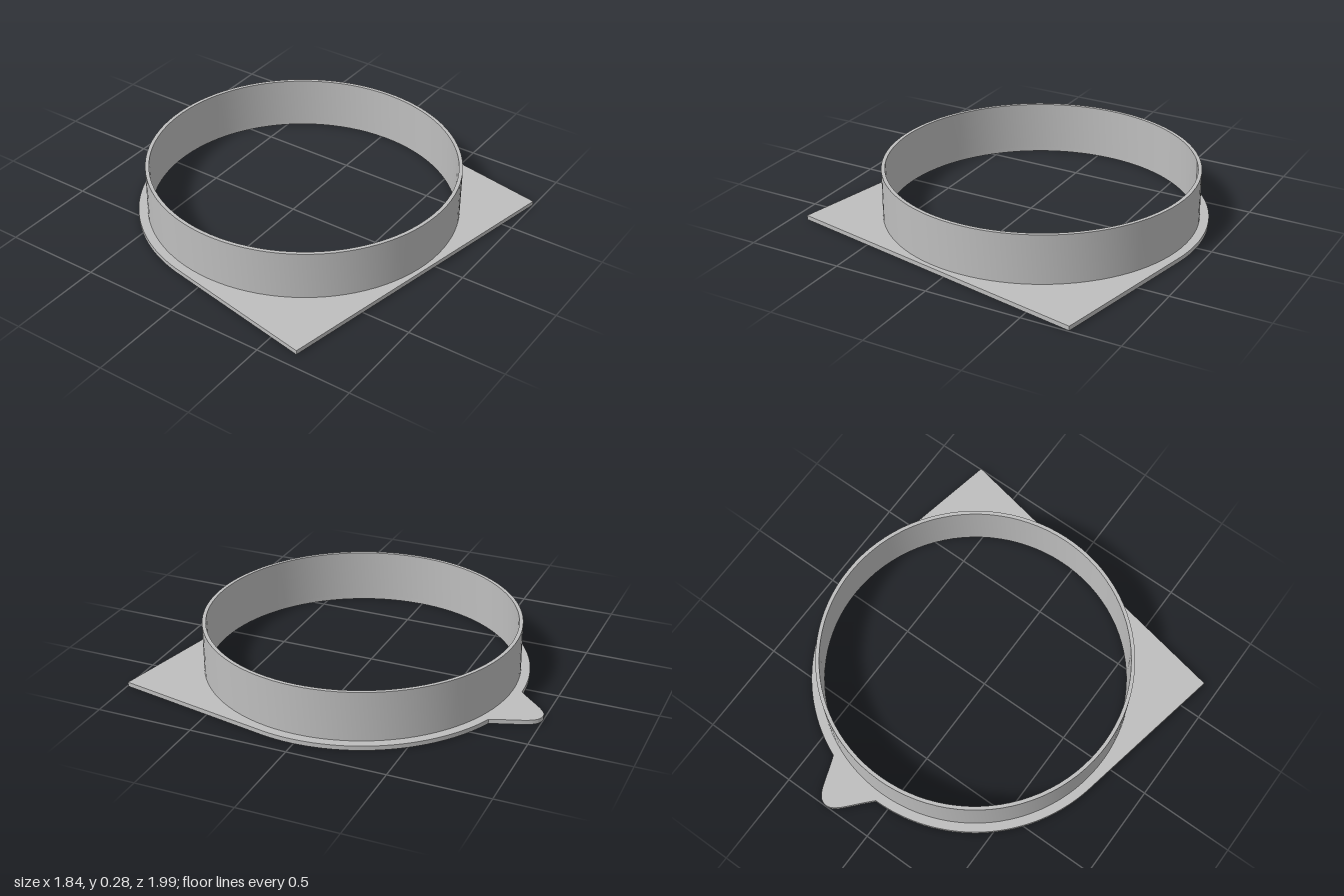
import * as THREE from 'three';
import { toCreasedNormals } from 'three/addons/utils/BufferGeometryUtils.js';

const INNER = 0.785, OUTER = 0.804, FLANGE = 0.85;
const PLATE = 0.023, TOP = 0.278;

// Extrude a plan outline upwards, keeping curved walls smooth and edges sharp
function slab(shape, y, height) {
  const hole = new THREE.Path();
  hole.absarc(0, 0, INNER, 0, Math.PI * 2, true);
  shape.holes.push(hole);
  const geometry = new THREE.ExtrudeGeometry(shape, { depth: height, bevelEnabled: false, curveSegments: 48 });
  geometry.rotateX(-Math.PI / 2);
  geometry.translate(0, y, 0);
  return toCreasedNormals(geometry, 0.5);
}

export function createModel() {
  const grey = new THREE.MeshStandardMaterial({ color: 0xbebebe });
  grey.name = 'grey';

  // Flange: square front corners, round back, rounded pointer tab
  const plan = new THREE.Shape();
  const tabX = 0.163, tabY = 0.835, tip = 1.035;
  const tabAngle = Math.atan2(tabY, tabX);
  plan.moveTo(-FLANGE, -0.828);
  plan.lineTo(FLANGE, -0.828);
  plan.lineTo(FLANGE, 0);
  plan.absarc(0, 0, FLANGE, 0, tabAngle, false);
  plan.bezierCurveTo(0.08, 0.96, 0.06, tip, 0, tip);
  plan.bezierCurveTo(-0.06, tip, -0.08, 0.96, -tabX, tabY);
  plan.absarc(0, 0, FLANGE, Math.PI - tabAngle, Math.PI, false);
  plan.closePath();
  const flange = new THREE.Mesh(slab(plan, 0, PLATE), grey);
  flange.name = 'flangePlate';

  // Thin upright collar
  const circle = new THREE.Shape();
  circle.absarc(0, 0, OUTER, 0, Math.PI * 2, false);
  const collar = new THREE.Mesh(slab(circle, PLATE, TOP - PLATE), grey);
  collar.name = 'collarRing';

  const body = new THREE.Group();
  body.name = 'ductCollar';
  body.add(flange, collar);
  body.rotation.y = -0.195;
  body.position.set(0.07, 0, 0.0175);

  const model = new THREE.Group();
  model.add(body);
  return model;
}
